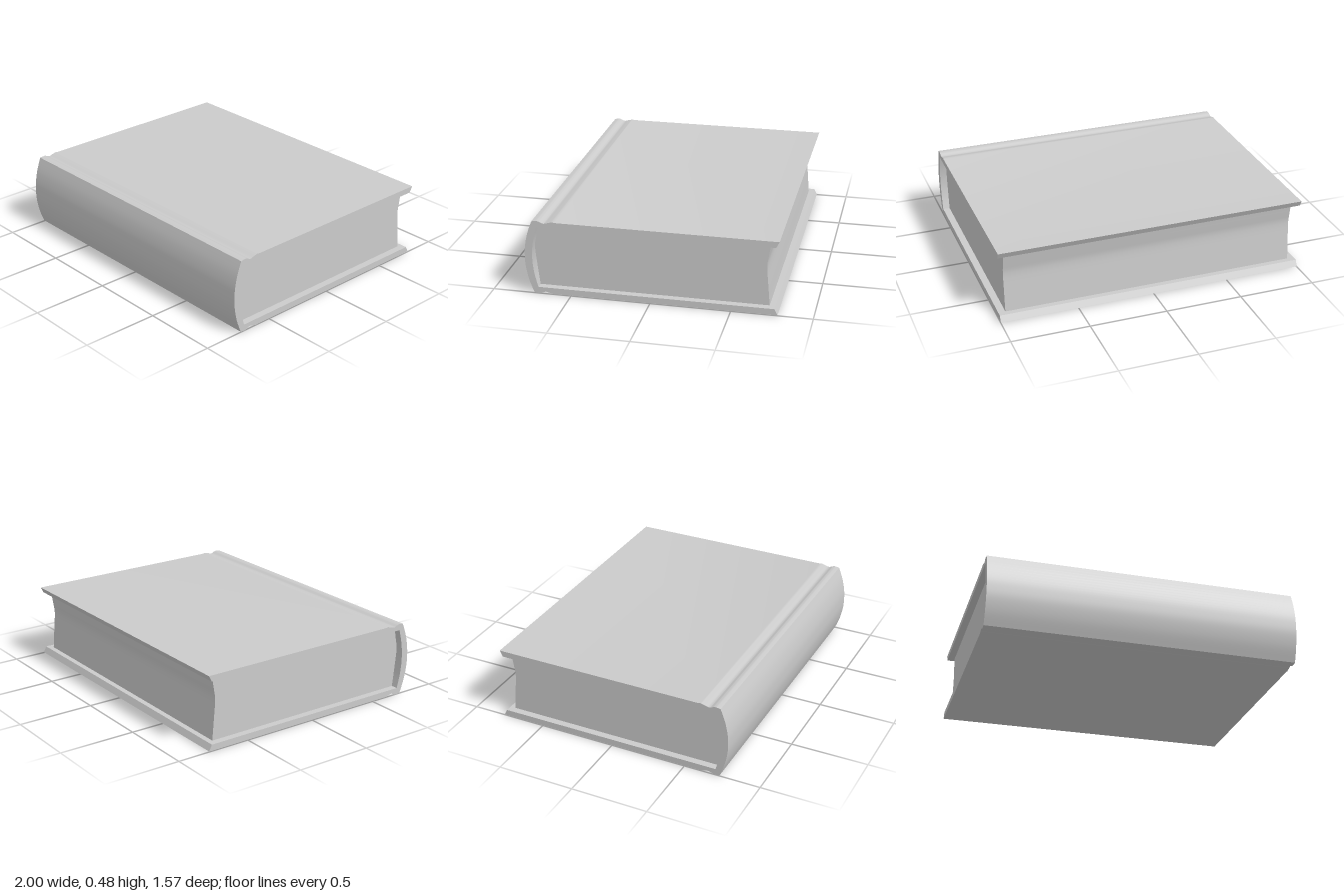
import * as THREE from 'three';
import { toCreasedNormals } from 'three/addons/utils/BufferGeometryUtils.js';

const MID = 0.242; // height of the book's plane of symmetry
const material = new THREE.MeshStandardMaterial({ color: 0xcccccc });

const spline = (points, n) =>
  new THREE.SplineCurve(points.map(([z, y]) => new THREE.Vector2(z, y))).getPoints(n);

// Mirror a half profile (top cover) to the bottom cover, in reverse order
const mirror = (points) => points.map((p) => new THREE.Vector2(p.x, -p.y)).reverse();

// Extrude a (z, y) profile along x, centred on x = 0
function extrudeAlongX(name, points, length) {
  const geometry = new THREE.ExtrudeGeometry(new THREE.Shape(points), {
    depth: length, bevelEnabled: false, steps: 1,
  });
  geometry.translate(0, 0, -length / 2).rotateY(-Math.PI / 2);
  const mesh = new THREE.Mesh(toCreasedNormals(geometry, 0.5), material);
  mesh.name = name;
  mesh.position.y = MID;
  return mesh;
}

export function createModel() {
  const book = new THREE.Group();
  book.name = 'book';

  // Cover: slanted fore edge, hinge groove, then the rounded spine
  const board = [
    new THREE.Vector2(-0.785, 0.239),
    new THREE.Vector2(0.59, 0.239),
    ...spline([[0.605, 0.242], [0.63, 0.236], [0.66, 0.228], [0.68, 0.235], [0.7, 0.242], [0.735, 0.238]], 15),
  ];
  const spineOuter = spline([
    [0.735, 0.238], [0.765, 0.155], [0.783, 0.07], [0.787, 0],
    [0.783, -0.07], [0.765, -0.155], [0.735, -0.238],
  ], 24).slice(1, -1);
  const spineInner = spline([
    [0.708, -0.2], [0.728, -0.12], [0.738, -0.05], [0.74, 0],
    [0.738, 0.05], [0.728, 0.12], [0.708, 0.2],
  ], 20);
  const cover = [
    ...board, ...spineOuter, ...mirror(board),
    new THREE.Vector2(-0.765, -0.2),
    ...spineInner,
    new THREE.Vector2(-0.765, 0.2),
  ];
  book.add(extrudeAlongX('cover', cover, 2));

  // Pages: hollow fore edge and slightly bulging bound edge
  const pages = [
    ...spline([[0.708, 0.2], [0.723, 0.12], [0.734, 0.055], [0.724, -0.06], [0.708, -0.2]], 12),
    ...spline([[-0.73, -0.2], [-0.718, -0.06], [-0.709, 0.055], [-0.717, 0.12], [-0.73, 0.2]], 12),
  ];
  book.add(extrudeAlongX('pages', pages, 1.91));

  return book;
}
